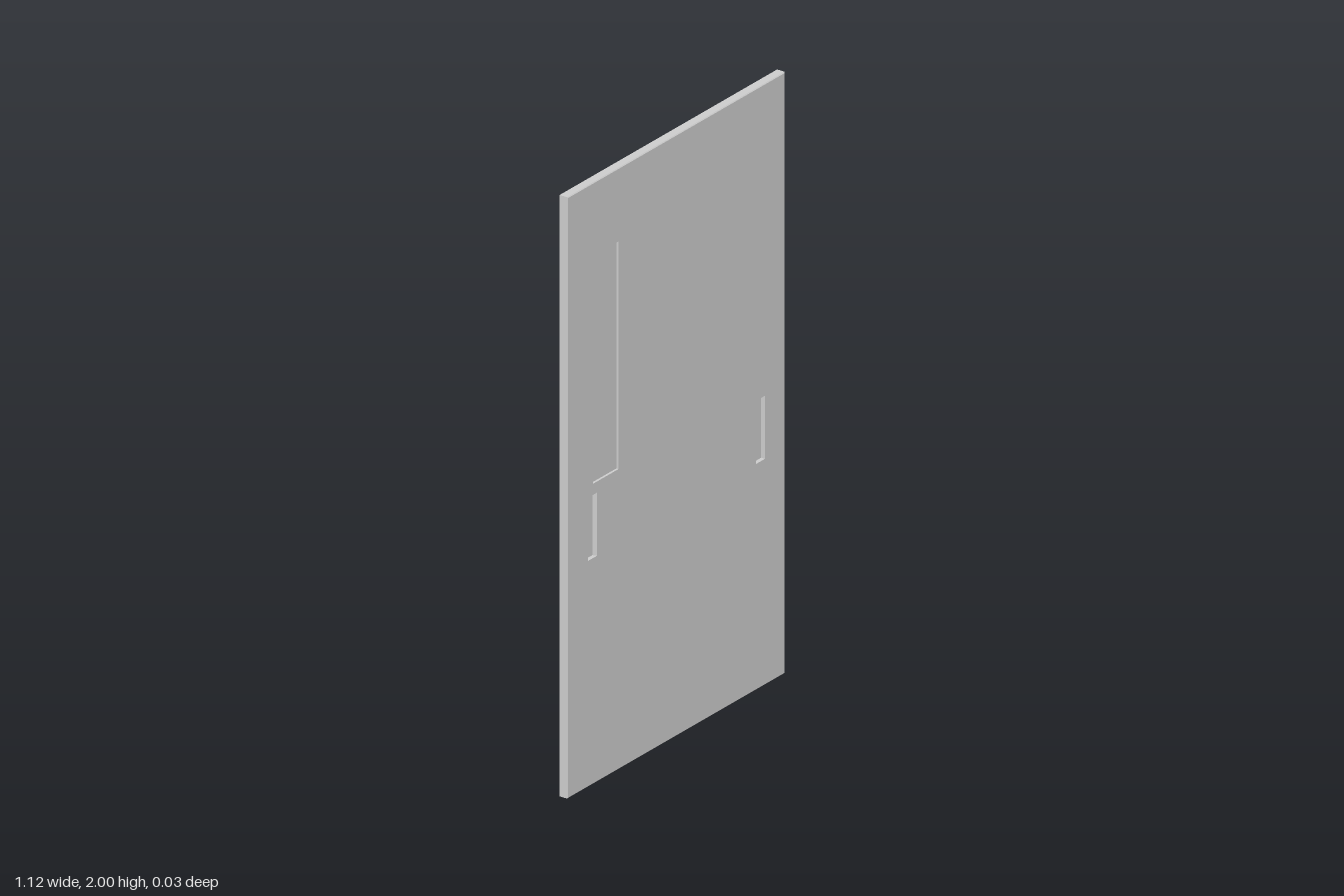
import * as THREE from 'three';

const HALF_W = 0.558, HEIGHT = 2, HALF_T = 0.0165, BEVEL = 0.003;

// Skin a run of rectangles [x0, x1, y0, y1, z]; optionally close the last one.
function loftRects(rects, capEnd) {
  const rings = rects.map(([x0, x1, y0, y1, z]) =>
    [[x0, y0, z], [x1, y0, z], [x1, y1, z], [x0, y1, z]]);
  const pos = [];
  const quad = (a, b, c, d) => pos.push(...a, ...b, ...c, ...a, ...c, ...d);
  for (let r = 0; r < rings.length - 1; r++) {
    for (let i = 0; i < 4; i++) {
      const j = (i + 1) % 4;
      quad(rings[r][i], rings[r][j], rings[r + 1][j], rings[r + 1][i]);
    }
  }
  if (capEnd) quad(...rings[rings.length - 1]);
  const geo = new THREE.BufferGeometry();
  geo.setAttribute('position', new THREE.Float32BufferAttribute(pos, 3));
  geo.computeVertexNormals();
  return geo;
}

function rectPath(path, x0, x1, y0, y1) {
  path.moveTo(x0, y0).lineTo(x1, y0).lineTo(x1, y1).lineTo(x0, y1).closePath();
  return path;
}

export function createModel() {
  const material = new THREE.MeshStandardMaterial({ color: 0xcccccc });
  const door = new THREE.Group();
  door.name = 'door';

  const add = (parent, name, geometry) => {
    const mesh = new THREE.Mesh(geometry, material);
    mesh.name = name;
    parent.add(mesh);
  };

  // Recesses as seen from the front; inset narrows the floor on the inner side
  const recesses = [
    { name: 'windowPane', x0: -0.427, x1: -0.297, y0: 0.999, y1: 1.756, depth: 0.008, in0: 0, in1: 0 },
    { name: 'rightHandPull', x0: -0.454, x1: -0.408, y0: 0.752, y1: 0.962, depth: 0.014, in0: 0, in1: 0.004 },
    { name: 'leftHandPull', x0: 0.408, x1: 0.454, y0: 0.752, y1: 0.962, depth: 0.014, in0: 0.004, in1: 0 },
  ];

  // Chamfered rim around the slab
  const rim = (inset, z) => [-HALF_W + inset, HALF_W - inset, inset, HEIGHT - inset, z];
  add(door, 'doorEdge', loftRects([
    rim(BEVEL, -HALF_T), rim(0, -HALF_T + BEVEL),
    rim(0, HALF_T - BEVEL), rim(BEVEL, HALF_T),
  ], false));

  // Both faces carry the same recesses; the back is mirrored, then turned round
  for (const back of [false, true]) {
    const side = new THREE.Group();
    side.name = back ? 'backFace' : 'frontFace';
    const panel = rectPath(new THREE.Shape(), -HALF_W + BEVEL, HALF_W - BEVEL, BEVEL, HEIGHT - BEVEL);

    for (const r of recesses) {
      const { y0, y1 } = r;
      const [x0, x1, in0, in1] = back ? [-r.x1, -r.x0, r.in1, r.in0] : [r.x0, r.x1, r.in0, r.in1];
      panel.holes.push(rectPath(new THREE.Path(), x0, x1, y0, y1));
      add(side, r.name, loftRects([
        [x0, x1, y0, y1, HALF_T],
        [x0 + in0, x1 - in1, y0, y1, HALF_T - r.depth],
      ], true));
    }

    const face = new THREE.ShapeGeometry(panel);
    face.translate(0, 0, HALF_T);
    add(side, 'doorPanel', face);
    if (back) side.rotation.y = Math.PI;
    door.add(side);
  }
  return door;
}
